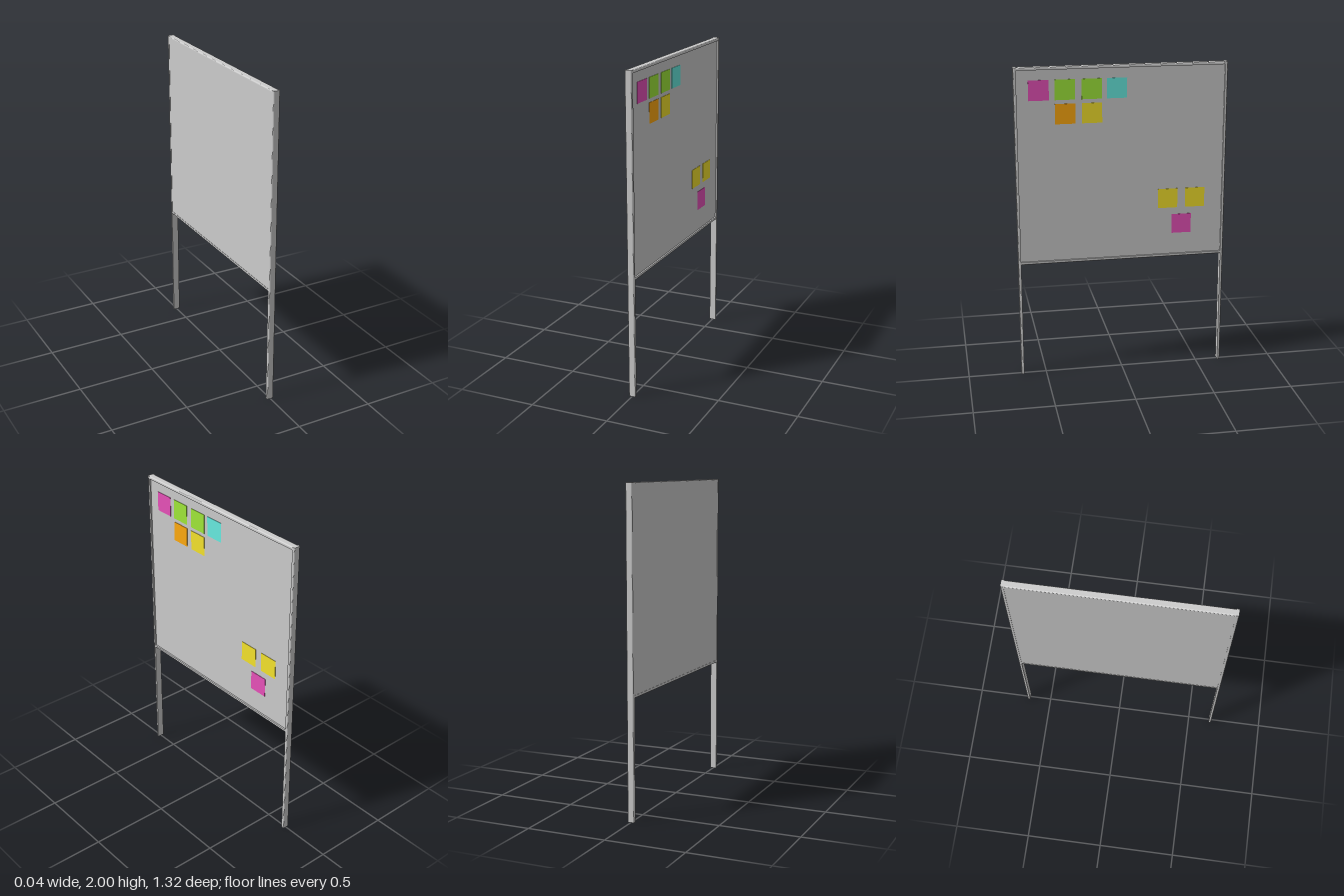
import * as THREE from 'three';

const HALF_DEPTH = 0.022;   // half thickness along x
const HALF_WIDTH = 0.662;   // half width along z
const BAR = 0.018;          // visible width of the frame bars

const grey = () => new THREE.MeshStandardMaterial({ color: 0xcccccc });

// Frame bar extruded along +z; its outer side (+y, at y = 0) has rounded corners
function barGeometry(length) {
  const w = HALF_DEPTH, r = 0.009;
  const s = new THREE.Shape();
  s.moveTo(-w, -BAR);
  s.lineTo(w, -BAR);
  s.lineTo(w, -r);
  s.quadraticCurveTo(w, 0, w - r, 0);
  s.lineTo(-w + r, 0);
  s.quadraticCurveTo(-w, 0, -w, -r);
  s.closePath();
  return new THREE.ExtrudeGeometry(s, { depth: length, bevelEnabled: false, curveSegments: 5 });
}

export function createModel() {
  const board = new THREE.Group();
  board.name = 'standingNoteBoard';

  const add = (name, geometry, material, x, y, z) => {
    const mesh = new THREE.Mesh(geometry, material);
    mesh.name = name;
    mesh.position.set(x, y, z);
    board.add(mesh);
    return mesh;
  };

  // Upright posts, running from the floor to the top as legs
  for (const side of [1, -1]) {
    const post = barGeometry(2);
    post.rotateX(side > 0 ? Math.PI / 2 : -Math.PI / 2);
    add(side > 0 ? 'frontPost' : 'backPost', post, grey(), 0, side > 0 ? 2 : 0, side * HALF_WIDTH);
  }

  // Top and bottom rails between the posts
  const span = 2 * (HALF_WIDTH - BAR);
  add('topRail', barGeometry(span), grey(), 0, 2, -span / 2);
  const bottom = barGeometry(span);
  bottom.rotateZ(Math.PI);
  add('bottomRail', bottom, grey(), 0, 0.75, -span / 2);

  // Writing panel, recessed on the note side and almost flush behind
  const panelFront = 0.012, panelBack = -0.02;
  add('panel', new THREE.BoxGeometry(panelFront - panelBack, 1.225, span + 0.01), grey(),
    (panelFront + panelBack) / 2, 1.375, 0);

  // Sticky notes: colour, z, y
  const magenta = 0xe851b9, green = 0xa0e83a, cyan = 0x68ece1, orange = 0xffaa0f, yellow = 0xf5e32c;
  const notes = [
    [magenta, 0.51, 1.857], [green, 0.35, 1.857], [green, 0.185, 1.857], [cyan, 0.03, 1.857],
    [orange, 0.35, 1.708], [yellow, 0.185, 1.708],
    [yellow, -0.294, 1.139], [yellow, -0.469, 1.139], [magenta, -0.384, 0.969],
  ];
  const noteGeometry = new THREE.BoxGeometry(0.003, 0.125, 0.125);
  notes.forEach(([color, z, y], i) =>
    add(`note${i + 1}`, noteGeometry, new THREE.MeshStandardMaterial({ color }), panelFront + 0.001, y, z));

  return board;
}
